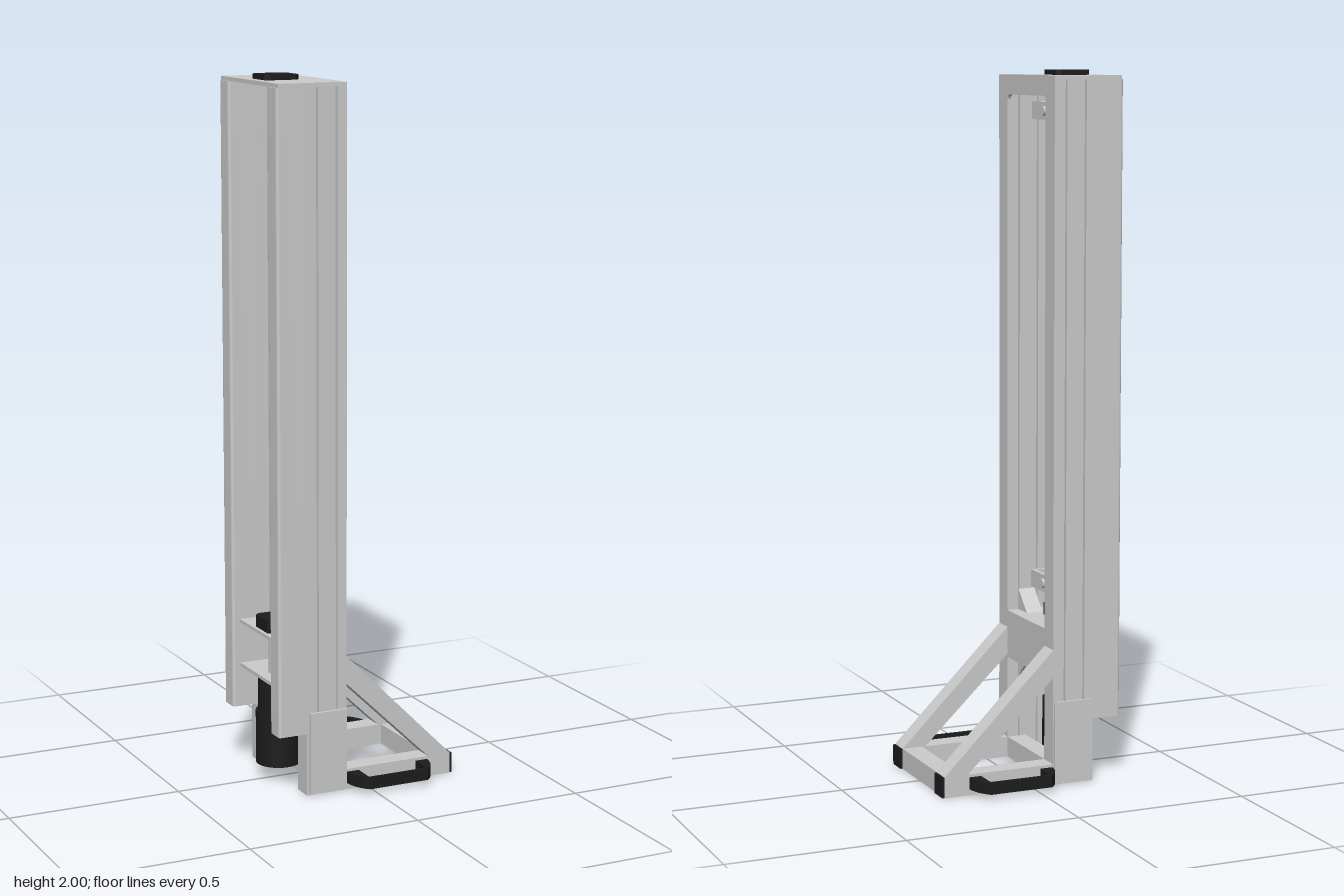
import * as THREE from 'three';

const grey = new THREE.MeshStandardMaterial({ color: 0xcccccc });
const steel = new THREE.MeshStandardMaterial({ color: 0x808080 });
const black = new THREE.MeshStandardMaterial({ color: 0x1c1c1c });

export function createModel() {
  const model = new THREE.Group();
  const AXIS = -0.189; // x of the drive axis

  const add = (name, geometry, material = grey, parent = model) => {
    const mesh = new THREE.Mesh(geometry, material);
    mesh.name = name;
    parent.add(mesh);
    return mesh;
  };
  // Box given by its limits on each axis
  const box = (name, [x0, x1], [y0, y1], [z0, z1], material, parent) => {
    const g = new THREE.BoxGeometry(x1 - x0, y1 - y0, z1 - z0);
    g.translate((x0 + x1) / 2, (y0 + y1) / 2, (z0 + z1) / 2);
    return add(name, g, material, parent);
  };
  // Upright cylinder on the drive axis
  const rod = (name, r, y0, y1, material) => {
    const g = new THREE.CylinderGeometry(r, r, y1 - y0, 32);
    g.translate(AXIS, (y0 + y1) / 2, 0);
    return add(name, g, material);
  };
  const polygon = (points) => new THREE.Shape(points.map(([x, y]) => new THREE.Vector2(x, y)));
  const extrude = (shape, depth) =>
    new THREE.ExtrudeGeometry(shape, { depth, bevelEnabled: false, curveSegments: 10 });
  // Plan outline (x, -z) raised from y0 to y1
  const raise = (shape, y0, y1) => extrude(shape, y1 - y0).rotateX(-Math.PI / 2).translate(0, y0, 0);

  // Slotted column section: two grooves on both broad faces
  const section = [[-0.188, 0.13]];
  const groove = (c, z, d, s) => section.push([c - s * 0.005, z], [c - s * 0.005, z + d], [c + s * 0.005, z + d], [c + s * 0.005, z]);
  groove(-0.156, 0.13, 0.012, 1);
  groove(-0.098, 0.13, 0.012, 1);
  section.push([-0.065, 0.13], [-0.065, 0.19]);
  groove(-0.098, 0.19, -0.012, -1);
  groove(-0.156, 0.19, -0.012, -1);
  section.push([-0.188, 0.19]);
  const columnShape = polygon(section.map(([x, z]) => [x, -z]).reverse());

  // Rear guard section with rounded back corners
  const guardShape = new THREE.Shape();
  guardShape.moveTo(-0.188, -0.19);
  guardShape.lineTo(-0.188, -0.13);
  guardShape.lineTo(-0.264, -0.13);
  guardShape.quadraticCurveTo(-0.273, -0.13, -0.273, -0.139);
  guardShape.lineTo(-0.273, -0.181);
  guardShape.quadraticCurveTo(-0.273, -0.19, -0.264, -0.19);
  guardShape.closePath();

  // Carry handle outline with its finger opening
  const handleShape = new THREE.Shape();
  handleShape.moveTo(-0.063, -0.19);
  handleShape.quadraticCurveTo(-0.06, -0.235, -0.028, -0.265);
  handleShape.lineTo(0.156, -0.265);
  handleShape.quadraticCurveTo(0.188, -0.235, 0.191, -0.19);
  handleShape.lineTo(0.155, -0.19);
  handleShape.lineTo(0.155, -0.247);
  handleShape.quadraticCurveTo(0.155, -0.255, 0.147, -0.255);
  handleShape.lineTo(-0.019, -0.255);
  handleShape.quadraticCurveTo(-0.027, -0.255, -0.027, -0.247);
  handleShape.lineTo(-0.027, -0.19);
  handleShape.closePath();

  const strutShape = polygon([[-0.065, 0.31], [0.195, 0.06], [0.265, 0.06], [-0.065, 0.39]]);

  // Both sides of the frame, the far one turned over about the x-y plane
  for (const s of [1, -1]) {
    const z = (a, b) => (s > 0 ? [a, b] : [-b, -a]);
    const side = new THREE.Group();
    side.name = s > 0 ? 'frontFrameSide' : 'rearFrameSide';
    model.add(side);
    // Reverse the plan outlines for the far side
    const flip = (shape) => (s > 0 ? shape : polygon(shape.getPoints(10).map((p) => [p.x, -p.y])));
    add('column', raise(flip(columnShape), 0, 1.975), grey, side);
    add('rearGuard', raise(flip(guardShape), 0.18, 1.975), grey, side);
    add('handle', raise(flip(handleShape), 0.018, 0.052), black, side);
    box('footPlate', [-0.18, -0.067], [0.004, 0.24], z(0.19, 0.198), grey, side);
    box('baseRail', [-0.065, 0.265], [0, 0.06], z(0.13, 0.19), grey, side);
    box('endCap', [0.265, 0.272], [0.001, 0.059], z(0.131, 0.189), black, side);
    add('strut', extrude(strutShape, 0.06).translate(0, 0, s > 0 ? 0.13 : -0.19), grey, side);
    // Triangular gussets above and below the motor bracket
    for (const [y, d] of [[0.44, 0.06], [0.3, -0.06]]) {
      const tri = polygon([[s * 0.13, y], [s * 0.07, y], [s * 0.13, y + d]]);
      add('gusset', extrude(tri, 0.05).rotateY(Math.PI / 2).scale(1, 1, -1).rotateY(0), grey, side).position.x = -0.15;
      const last = side.children[side.children.length - 1];
      last.geometry.index || flipWinding(last.geometry);
    }
  }

  // Base cross rails
  box('frontCrossRail', [0.205, 0.265], [0, 0.06], [-0.13, 0.13]);
  box('rearCrossRail', [-0.123, -0.065], [0, 0.06], [-0.13, 0.13]);

  // Top plate and its lintel with rounded inner corners
  box('topPlate', [-0.268, -0.065], [1.975, 1.986], [-0.19, 0.19]);
  const lintel = polygon([[-0.13, 1.975], [-0.13, 1.918], [-0.126, 1.926], [-0.118, 1.93],
    [0.118, 1.93], [0.126, 1.926], [0.13, 1.918], [0.13, 1.975]]);
  add('lintel', extrude(lintel, 0.01).rotateY(Math.PI / 2)).position.x = -0.075;

  // Channel-shaped motor bracket
  box('bracketWeb', [-0.075, -0.065], [0.3, 0.44], [-0.13, 0.13]);
  for (const y of [0.3, 0.43]) box('bracketShelf', [-0.25, -0.075], [y, y + 0.01], [-0.13, 0.13]);

  // Drive: motor, coupling, screw and square bearings
  rod('motor', 0.065, 0.045, 0.2, black);
  rod('gearbox', 0.058, 0.2, 0.3, black);
  rod('coupling', 0.028, 0.31, 0.43, grey);
  rod('leadScrew', 0.017, 0.43, 1.975, steel);
  const e = 0.051, c = 0.038;
  const bearing = polygon([[-e, -c], [-c, -e], [c, -e], [e, -c], [e, c], [c, e], [-c, e], [-e, c]]);
  const hole = new THREE.Path();
  hole.absarc(0, 0, 0.014, 0, Math.PI * 2, true);
  bearing.holes.push(hole);
  for (const [y0, y1] of [[0.44, 0.475], [1.986, 2]]) add('bearing', raise(bearing, y0, y1), black).position.x = AXIS;
  rod('screwEnd', 0.014, 1.975, 1.997, steel);

  // Limit switch brackets on the inner face of one column
  for (const y of [0.53, 1.885]) {
    const bracket = new THREE.Group();
    bracket.name = 'switchBracket';
    model.add(bracket);
    box('arm', [-0.15, -0.14], [y - 0.025, y + 0.025], [0.02, 0.13], grey, bracket);
    box('flange', [-0.185, -0.14], [y - 0.025, y + 0.025], [0.12, 0.13], grey, bracket);
    const pin = add('sensor', new THREE.CylinderGeometry(0.014, 0.014, 0.05, 20).rotateZ(Math.PI / 2), grey, bracket);
    pin.position.set(-0.158, y, 0.045);
  }
  return model;
}

// Turns the faces of a mirrored, unindexed geometry outwards again
function flipWinding(geometry) {
  const p = geometry.attributes.position;
  const a = new THREE.Vector3(), b = new THREE.Vector3();
  for (let i = 0; i < p.count; i += 3) {
    a.fromBufferAttribute(p, i + 1);
    b.fromBufferAttribute(p, i + 2);
    p.setXYZ(i + 1, b.x, b.y, b.z);
    p.setXYZ(i + 2, a.x, a.y, a.z);
  }
  geometry.computeVertexNormals();
}
